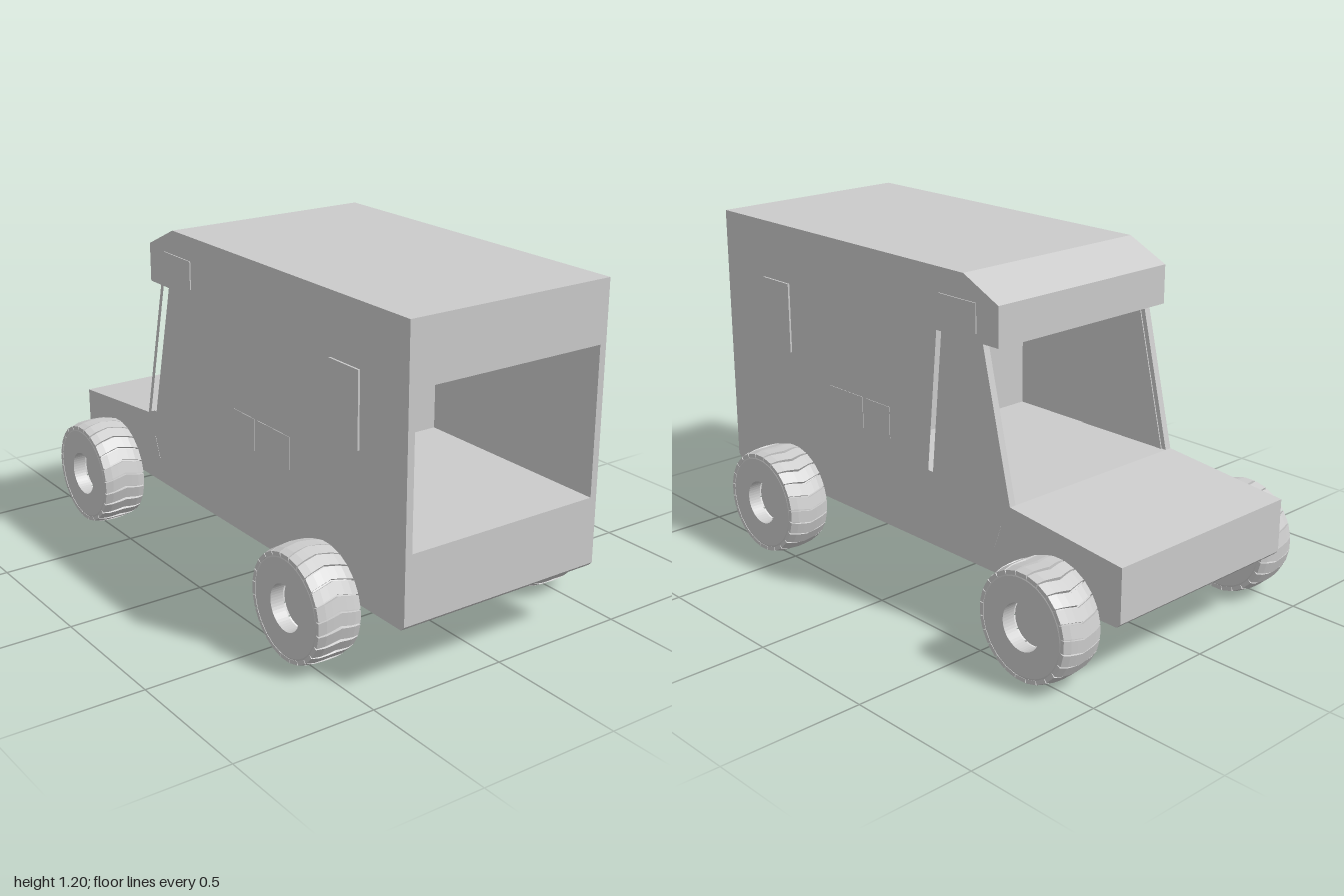
import * as THREE from 'three';
import { mergeGeometries } from 'three/addons/utils/BufferGeometryUtils.js';

const grey = new THREE.MeshStandardMaterial({ color: 0xcccccc, flatShading: true });
const smooth = new THREE.MeshStandardMaterial({ color: 0xcccccc });

// Extrude a side outline given as [z, y] points from x0 to x1
function slab(points, x0, x1, holes = []) {
  const toVec = ([z, y]) => new THREE.Vector2(-z, y);
  const shape = new THREE.Shape(points.map(toVec));
  holes.forEach((h) => shape.holes.push(new THREE.Path(h.map(toVec))));
  const geo = new THREE.ExtrudeGeometry(shape, { depth: x1 - x0, bevelEnabled: false });
  return geo.rotateY(Math.PI / 2).translate(x0, 0, 0);
}

function add(group, name, geo, material = grey) {
  const mesh = new THREE.Mesh(geo, material);
  mesh.name = name;
  group.add(mesh);
  return mesh;
}

const rect = (z0, z1, y0, y1) => [[z0, y0], [z1, y0], [z1, y1], [z0, y1]];

const HALF = 0.39, INNER = 0.365;
const lower = [[1, 0.245], [1, 0.48], [-0.52, 0.48], [-1, 0.432], [-1, 0.245], [-0.985, 0.23], [0.985, 0.23]];
const roof = [[1, 0.993], [1, 1.205], [-0.305, 1.205], [-0.465, 1.13], [-0.465, 0.993]];
const outline = [
  [1, 0.245], [1, 1.205], [-0.305, 1.205], [-0.465, 1.13], [-0.465, 0.993], [-0.395, 0.993],
  [-0.52, 0.48], [-1, 0.432], [-1, 0.245], [-0.985, 0.23], [0.985, 0.23],
];
const doorWindow = [[-0.125, 0.48], [-0.175, 0.993], [-0.377, 0.993], [-0.502, 0.48]];

// Tyre with chunky chevron tread and a recessed hub, axle along x
function makeWheel() {
  const wheel = new THREE.Group();
  wheel.name = 'wheel';
  const w = 0.08;
  const profile = [
    [0.08, -w * 0.4], [0.08, -w], [0.165, -w], [0.18, -w * 0.92], [0.185, -w * 0.6],
    [0.185, w * 0.6], [0.18, w * 0.92], [0.165, w], [0.08, w], [0.08, w * 0.4],
  ].map(([r, x]) => new THREE.Vector2(r, x));
  const tyre = new THREE.LatheGeometry(profile, 48).rotateZ(-Math.PI / 2);
  add(wheel, 'tyre', tyre);
  add(wheel, 'hub', new THREE.CylinderGeometry(0.081, 0.081, 0.05, 40).rotateZ(Math.PI / 2));

  // Each lug is a box bent into a V and rounded at its shoulders
  const count = 24;
  const lug = new THREE.BoxGeometry(2 * w, 0.014, 0.043, 6, 1, 1);
  const p = lug.attributes.position;
  for (let i = 0; i < p.count; i++) {
    const t = Math.abs(p.getX(i)) / w;
    p.setZ(i, p.getZ(i) - 0.018 * (1 - t));
    p.setY(i, p.getY(i) + 0.185 - 0.009 * t ** 4);
  }
  const lugs = [];
  for (let i = 0; i < count; i++) lugs.push(lug.clone().rotateX((i / count) * Math.PI * 2));
  add(wheel, 'tread', mergeGeometries(lugs));
  return wheel;
}

// Details on one side wall, built for +x
function makeSide(mirror) {
  const side = new THREE.Group();
  side.name = mirror ? 'rightSide' : 'leftSide';
  const put = (name, points, x0, x1, holes) => {
    const geo = slab(points, x0, x1, holes);
    // Mirrored side: flip x and restore the winding
    if (mirror) {
      geo.scale(-1, 1, 1);
      const { position, normal, uv } = geo.attributes;
      for (const a of [position, normal, uv]) {
        const n = a.itemSize;
        for (let i = 0; i < a.count; i += 3) {
          for (let k = 0; k < n; k++) {
            const b = (i + 1) * n + k, c = (i + 2) * n + k;
            [a.array[b], a.array[c]] = [a.array[c], a.array[b]];
          }
        }
      }
    }
    add(side, name, geo);
  };
  put('sideWall', outline, INNER, HALF, [doorWindow]);
  put('doorWindowPane', doorWindow, INNER - 0.004, INNER + 0.003);
  // Framed rear window and the small framed panel over the door
  put('rearWindowFrame', rect(0.62, 0.77, 0.74, 0.995), HALF - 0.002, HALF + 0.007, [rect(0.64, 0.75, 0.765, 0.97)]);
  put('upperPanelFrame', rect(-0.365, -0.19, 1.02, 1.12), HALF - 0.002, HALF + 0.004, [rect(-0.35, -0.205, 1.035, 1.105)]);
  // Shallow hatch panels and a small slanted vent
  put('hatchPanel', rect(0.215, 0.4, 0.555, 0.668), HALF - 0.002, HALF + 0.002);
  put('hatchPanel', rect(0.07, 0.195, 0.555, 0.668), HALF - 0.002, HALF + 0.002);
  put('vent', [[-0.445, 0.32], [-0.475, 0.4], [-0.48, 0.4], [-0.45, 0.32]], HALF - 0.002, HALF + 0.001);
  return side;
}

export function createModel() {
  const model = new THREE.Group();
  model.name = 'boxTruck';

  // Body core between the side walls, open at the rear and the windscreen
  const body = new THREE.Group();
  body.name = 'body';
  add(body, 'lowerBodyAndHood', slab(lower, -INNER, INNER));
  add(body, 'roof', slab(roof, -INNER, INNER));
  add(body, 'partition', slab(rect(0.195, 0.215, 0.48, 0.993), -INNER, INNER));
  model.add(body, makeSide(false), makeSide(true));

  // Four wheels
  for (const z of [0.615, -0.745]) {
    for (const s of [-1, 1]) {
      const wheel = makeWheel();
      wheel.position.set(s * 0.479, 0.2, z);
      model.add(wheel);
    }
  }
  return model;
}
